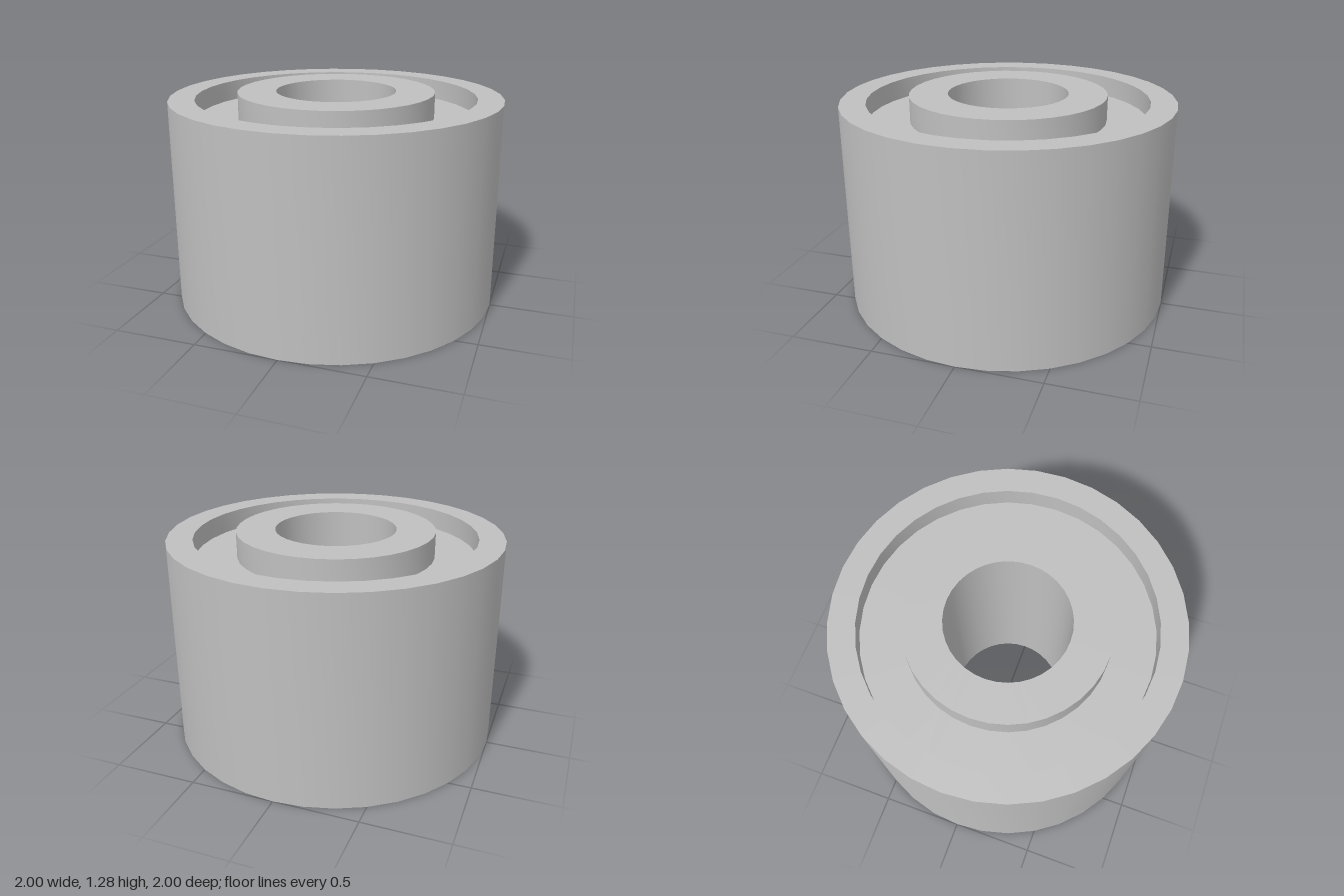
import * as THREE from 'three';
import { toCreasedNormals } from 'three/addons/utils/BufferGeometryUtils.js';

export function createModel() {
  const model = new THREE.Group();
  model.name = 'rollerBushing';

  const grey = new THREE.MeshStandardMaterial({ color: 0xbfbfbf });
  grey.name = 'plain grey';

  const outerRadius = 1, grooveRadius = 0.845, hubRadius = 0.593, boreRadius = 0.362;
  const rimHeight = 1.25, hubHeight = 1.28, grooveFloor = 1.125;

  // Closed cross-section: base, outer wall, rim, groove, raised hub, bore
  const profile = [
    [boreRadius, 0],
    [outerRadius, 0],
    [outerRadius, rimHeight],
    [grooveRadius, rimHeight],
    [grooveRadius, grooveFloor],
    [hubRadius, grooveFloor],
    [hubRadius, hubHeight],
    [boreRadius, hubHeight],
    [boreRadius, 0],
  ].map(([r, y]) => new THREE.Vector2(r, y));

  // Smooth around the axis, sharp at the profile corners
  const geometry = toCreasedNormals(new THREE.LatheGeometry(profile, 36), Math.PI / 6);
  const body = new THREE.Mesh(geometry, grey);
  body.name = 'groovedBody';
  model.add(body);

  return model;
}
